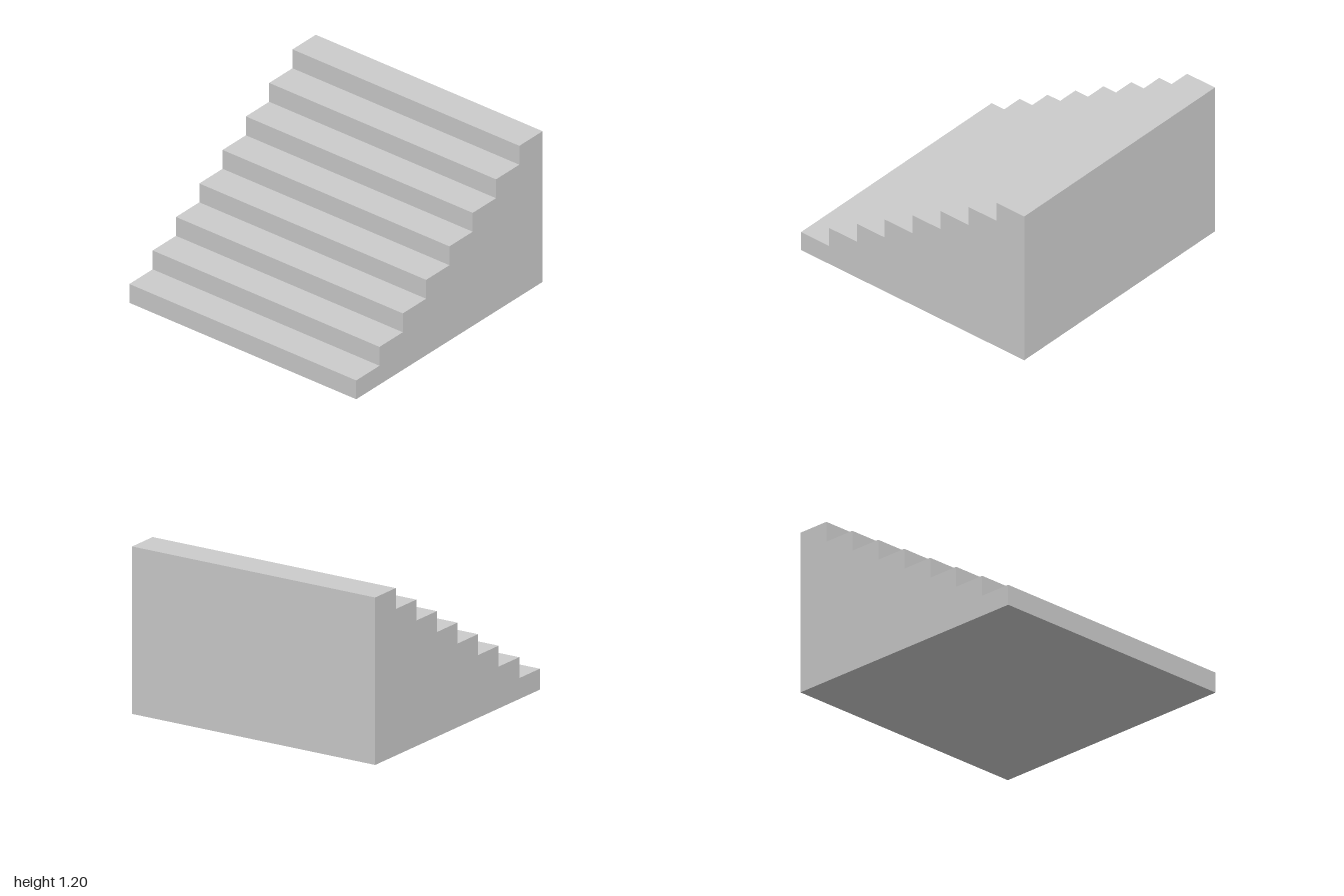
import * as THREE from 'three';

const STEPS = 8;
const WIDTH = 2;
const DEPTH = 2;
const RISE = 0.15;

export function createModel() {
  const model = new THREE.Group();
  model.name = 'staircase';
  const material = new THREE.MeshStandardMaterial({ color: 0xcccccc });
  const tread = DEPTH / STEPS;

  // Solid steps standing on the ground, rising from front to back
  for (let i = 0; i < STEPS; i++) {
    const height = RISE * (i + 1);
    const step = new THREE.Mesh(new THREE.BoxGeometry(WIDTH, height, tread), material);
    step.name = `step${i + 1}`;
    step.position.set(0, height / 2, DEPTH / 2 - tread * (i + 0.5));
    model.add(step);
  }
  return model;
}
